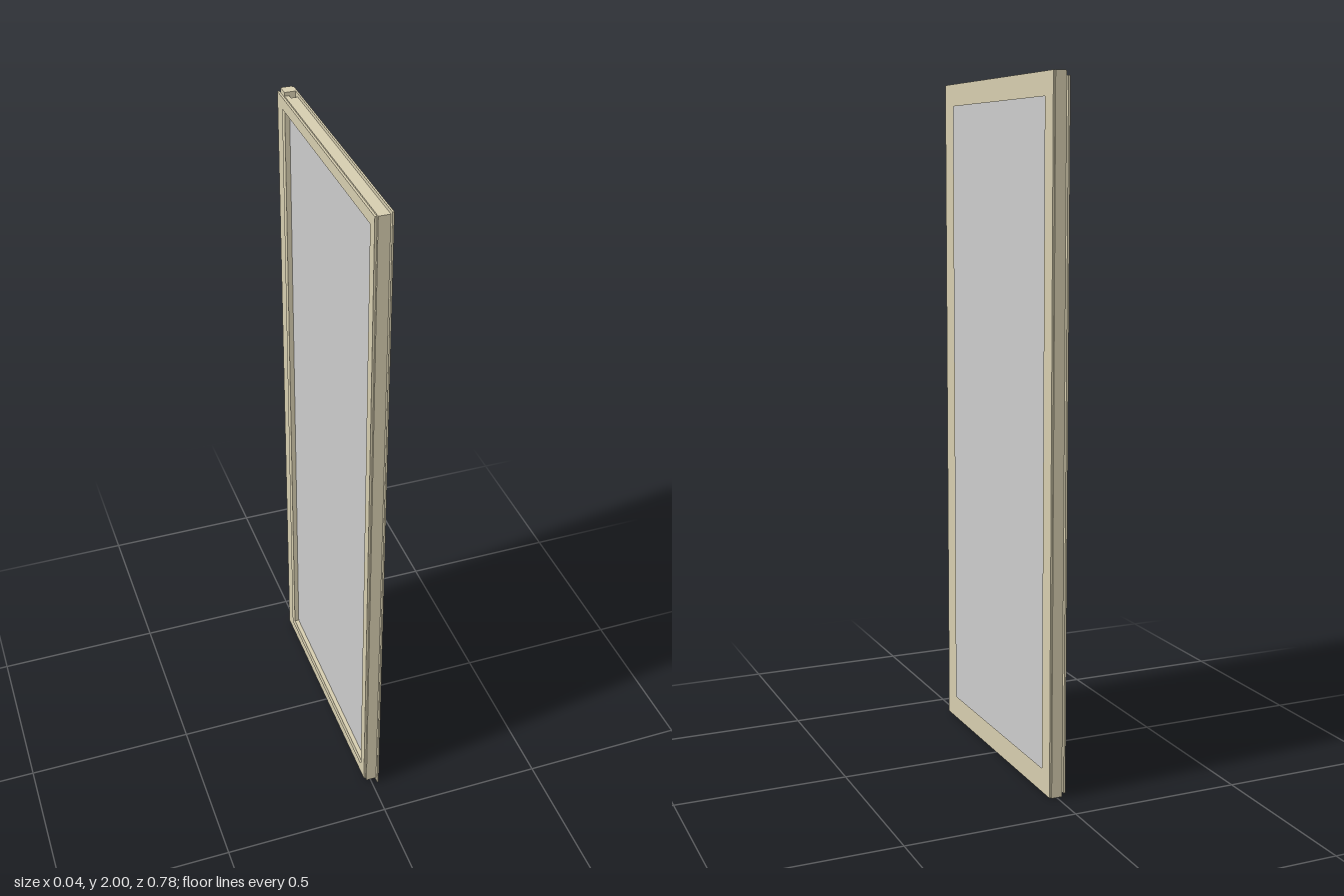
import * as THREE from 'three';

export function createModel() {
  const group = new THREE.Group();
  const tan = new THREE.MeshStandardMaterial({ color: 0xd6cdaf });
  const grey = new THREE.MeshStandardMaterial({ color: 0xcccccc });

  // Box given by its lower and upper corners
  function box(name, material, [x0, y0, z0], [x1, y1, z1]) {
    const mesh = new THREE.Mesh(new THREE.BoxGeometry(x1 - x0, y1 - y0, z1 - z0), material);
    mesh.position.set((x0 + x1) / 2, (y0 + y1) / 2, (z0 + z1) / 2);
    mesh.name = name;
    group.add(mesh);
  }

  // Flat rectangular ring in the z-y plane, from x0 to x1; rectangles are [z0, y0, z1, y1]
  function ring(name, x0, x1, outer, inner) {
    const trace = (path, [z0, y0, z1, y1]) =>
      path.moveTo(-z0, y0).lineTo(-z1, y0).lineTo(-z1, y1).lineTo(-z0, y1).closePath();
    const shape = trace(new THREE.Shape(), outer);
    shape.holes.push(trace(new THREE.Path(), inner));
    const geometry = new THREE.ExtrudeGeometry(shape, { depth: x1 - x0, bevelEnabled: false });
    geometry.rotateY(Math.PI / 2);
    const mesh = new THREE.Mesh(geometry, tan);
    mesh.position.x = x0;
    mesh.name = name;
    group.add(mesh);
  }

  // Thin face frames, offset from each other to form the overlapping rebates
  ring('leftFaceFrame', 0.016, 0.021, [-0.376, 0, 0.39, 2], [-0.325, 0.07, 0.325, 1.935]);
  ring('rightFaceFrame', -0.022, -0.016, [-0.39, 0.014, 0.373, 1.986], [-0.345, 0.05, 0.343, 1.952]);

  // Core stiles: the rear one runs the full height
  box('rearStile', tan, [-0.016, 0, -0.38], [0.016, 2, -0.345]);
  box('frontStile', tan, [-0.016, 0.01, 0.343], [0.016, 1.99, 0.38]);

  // Core rails, notched at the rear end beside the glass
  for (const [name, y0, y1] of [['bottomRail', 0.01, 0.05], ['topRail', 1.952, 1.99]]) {
    box(name, tan, [-0.016, y0, -0.343], [-0.003, y1, 0.343]);
    box(name + 'Lip', tan, [-0.003, y0, -0.327], [0.016, y1, 0.343]);
  }

  // Glass pane
  box('glassPane', grey, [-0.003, 0.05, -0.342], [0.0155, 1.952, 0.343]);

  return group;
}
